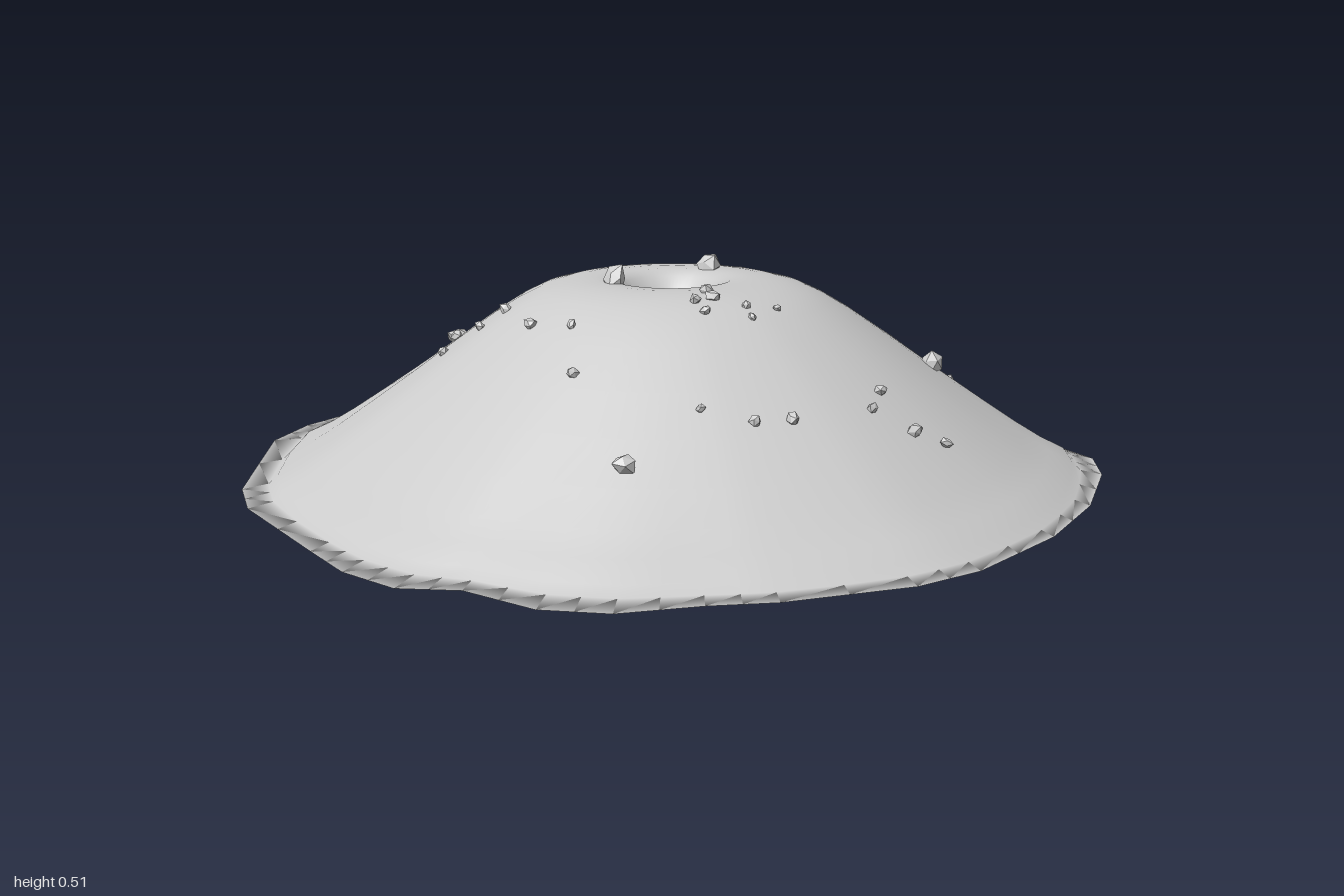
import * as THREE from 'three';
import { mergeVertices } from 'three/addons/utils/BufferGeometryUtils.js';

// Ragged foot of the hill, [x, z] going round from +x towards +z
const FOOT = [
  [1, 0], [.98, .14], [.88, .38], [.74, .59], [.54, .79], [.4, .87], [.13, .94], [-.01, .95], [-.18, .98],
  [-.32, .95], [-.46, .84], [-.59, .82], [-.7, .72], [-.78, .59], [-.96, .29], [-1, .14], [-1, -.29],
  [-.94, -.44], [-.87, -.53], [-.77, -.68], [-.67, -.86], [-.53, -.94], [-.32, -.91], [-.18, -.95],
  [-.01, -.96], [.13, -.95], [.33, -1], [.53, -.94], [.59, -.78], [.71, -.68], [.81, -.57], [.86, -.41],
  [.9, -.3], [.93, -.14],
];

// Radius and height from the crater floor, over its lip and down the slope
const PROFILE = [
  [0, .35], [.03, .355], [.06, .38], [.085, .42], [.11, .455], [.14, .468], [.18, .47], [.22, .468], [.26, .462],
  [.31, .449], [.36, .425], [.42, .388], [.52, .318], [.62, .245], [.72, .173], [.8, .116], [.86, .077], [.915, .049],
];
const EDGE = .935;
const CENTRE = -.02; // the crater sits slightly off centre in x and z

const material = new THREE.MeshStandardMaterial({ color: 0xcccccc, roughness: 1 });
const rockMaterial = new THREE.MeshStandardMaterial({ color: 0xcccccc, roughness: 1, flatShading: true });

function heightAt(x, z) {
  const far = Math.hypot(x, z);
  const shift = CENTRE * Math.max(0, 1 - far / .85);
  const r = Math.hypot(x - shift, z - shift);
  for (let i = 1; i < PROFILE.length; i++) {
    const [r0, y0] = PROFILE[i - 1], [r1, y1] = PROFILE[i];
    if (r <= r1) return THREE.MathUtils.mapLinear(r, r0, r1, y0, y1);
  }
  return .04;
}

// Smooth hill: rings that turn from circles into the ragged foot, then close underneath
function hillGeometry() {
  const rim = [];
  FOOT.forEach(([x, z], i) => {
    const [nx, nz] = FOOT[(i + 1) % FOOT.length];
    rim.push([x, z], [(x + nx) / 2, (z + nz) / 2]);
  });
  const n = rim.length, positions = [], index = [];
  let rows = 0;
  const addRow = (y, radiusOf, shift = 0) => {
    for (const [x, z] of rim) {
      const R = Math.hypot(x, z), r = radiusOf(R);
      positions.push(x / R * r + shift, y, z / R * r + shift);
    }
    rows++;
  };
  const innerEdge = (R) => .5 * .93 + .5 * (R - .04);
  for (const [r, y] of PROFILE) {
    const w = THREE.MathUtils.smoothstep(r, .5, EDGE);
    addRow(y, (R) => THREE.MathUtils.lerp(r, innerEdge(R) * r / EDGE, w), CENTRE * Math.max(0, 1 - r / .85));
  }
  addRow(.03, innerEdge);
  addRow(.02, (R) => R);
  addRow(.005, (R) => innerEdge(R) * .93);
  addRow(.002, () => .5);
  addRow(0, () => 0);
  for (let j = 0; j < rows - 1; j++) {
    for (let i = 0; i < n; i++) {
      const k = (i + 1) % n;
      const a = j * n + i, b = a + n, c = (j + 1) * n + k, d = j * n + k;
      if (j < rows - 2) index.push(a, c, b);
      if (j > 0) index.push(a, d, c);
    }
  }
  let geometry = new THREE.BufferGeometry();
  geometry.setAttribute('position', new THREE.Float32BufferAttribute(positions, 3));
  geometry.setIndex(index);
  geometry = mergeVertices(geometry, 1e-5);
  geometry.computeVertexNormals();
  return geometry;
}

// Chipped stone: a low-poly ball with its corners pushed in and out
function rockGeometry(seed) {
  const geometry = new THREE.IcosahedronGeometry(1, 0);
  const p = geometry.attributes.position, v = new THREE.Vector3();
  for (let i = 0; i < p.count; i++) {
    v.fromBufferAttribute(p, i);
    const s = 1 + .2 * Math.sin(v.x * 5.1 + v.y * 7.3 + v.z * 9.7 + seed * 2.4);
    p.setXYZ(i, v.x * s, v.y * s * .85, v.z * s);
  }
  geometry.computeVertexNormals();
  return geometry;
}

// Boulders, stones and pebbles, [x, z]
const BOULDERS = [[.29, -.7], [-.53, -.22], [.08, -.15], [-.15, .04], [.59, .04], [-.15, .66]];
const STONES = [
  [-.27, -.73], [-.3, -.66], [-.13, -.66], [-.07, -.52], [.03, -.45], [.21, -.59], [.2, -.53], [.3, -.52],
  [.37, -.53], [.01, -.38], [.18, -.38], [.18, -.31], [.55, -.29], [.54, -.22], [.63, -.21], [-.52, -.06],
  [-.55, .01], [-.46, .04], [-.4, .04], [-.34, .21], [-.25, .42], [.02, -.04], [.05, .18], [.06, .23],
  [.02, .25], [.04, .3], [.41, .38], [.47, .46], [.54, .45], [.12, .57], [.2, .55],
];
const PEBBLES = [
  [-.2, -.65], [.11, -.37], [.69, -.21], [-.25, .28], [.13, .26], [.2, .24], [.14, .3], [.38, .45], [.01, .55],
];

export function createModel() {
  const model = new THREE.Group();
  model.name = 'craterHill';

  const hill = new THREE.Mesh(hillGeometry(), material);
  hill.name = 'hill';
  model.add(hill);

  const shapes = [0, 1, 2, 3, 4].map(rockGeometry);
  const scatter = (name, spots, size) => {
    const group = new THREE.Group();
    group.name = name;
    spots.forEach(([x, z], i) => {
      const rock = new THREE.Mesh(shapes[i % shapes.length], rockMaterial);
      rock.name = 'rock';
      rock.position.set(x, heightAt(x, z) + size * .3, z);
      rock.rotation.set(i * 1.3, i * 2.1, i * .7);
      rock.scale.setScalar(size * (1 + .12 * Math.sin(i * 4.7)));
      group.add(rock);
    });
    model.add(group);
  };
  scatter('boulders', BOULDERS, .029);
  scatter('stones', STONES, .015);
  scatter('pebbles', PEBBLES, .011);
  return model;
}
